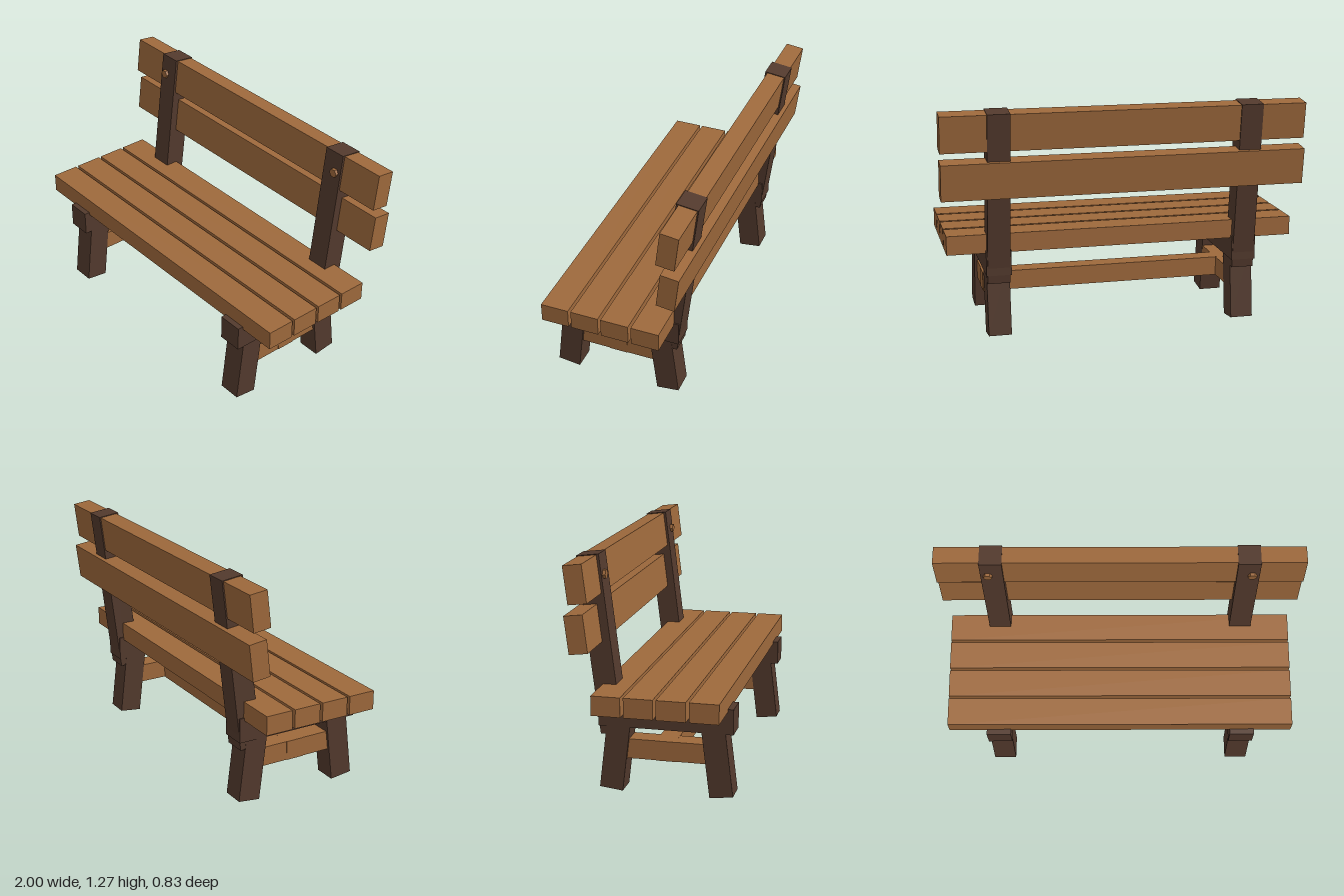
import * as THREE from 'three';

export function createModel() {
  const model = new THREE.Group();
  model.name = 'bench';

  const plankWood = new THREE.MeshStandardMaterial({ color: 0x9e693c });
  plankWood.name = 'plank wood';
  const frameWood = new THREE.MeshStandardMaterial({ color: 0x533a2d });
  frameWood.name = 'frame wood';

  const TILT = 0.121; // lean of legs, posts and back planks

  function beam(name, material, size, position, tilt = 0) {
    const mesh = new THREE.Mesh(new THREE.BoxGeometry(...size), material);
    mesh.name = name;
    mesh.position.set(...position);
    mesh.rotation.x = tilt;
    model.add(mesh);
    return mesh;
  }

  // Seat planks
  for (let i = 0; i < 4; i++) {
    beam('seatPlank', plankWood, [1.943, 0.105, 0.154], [-0.002, 0.532, 0.308 - i * 0.17]);
  }

  // Leaning back planks
  for (const y of [1.159, 0.904]) {
    beam('backPlank', plankWood, [2, 0.2, 0.1], [0, y, -0.341], -TILT);
  }

  // Stretcher joining the two side frames
  beam('stretcher', plankWood, [1.486, 0.108, 0.105], [0, 0.235, 0.052]);

  // Side frames
  for (const side of [-1, 1]) {
    const x = side * 0.692;
    beam('seatSupport', frameWood, [0.137, 0.137, 0.722], [x, 0.426, 0.055]);
    beam('backPost', frameWood, [0.123, 0.952, 0.12], [x, 0.79, -0.293], -TILT);
    beam('frontLeg', frameWood, [0.126, 0.418, 0.126], [x, 0.216, 0.327], -TILT);
    beam('backLeg', frameWood, [0.126, 0.418, 0.126], [x, 0.216, -0.217], TILT);
    beam('sideRail', plankWood, [0.11, 0.107, 0.48], [side * 0.685, 0.235, 0.055]);

    // Six-sided peg on the front of the post
    const pegShape = new THREE.CylinderGeometry(0.025, 0.025, 0.04, 6).toNonIndexed();
    pegShape.computeVertexNormals();
    pegShape.rotateY(Math.PI / 2);
    pegShape.rotateX(Math.PI / 2);
    const peg = new THREE.Mesh(pegShape, plankWood);
    peg.name = 'peg';
    peg.position.set(side * 0.713, 1.159, -0.282);
    model.add(peg);
  }

  return model;
}
